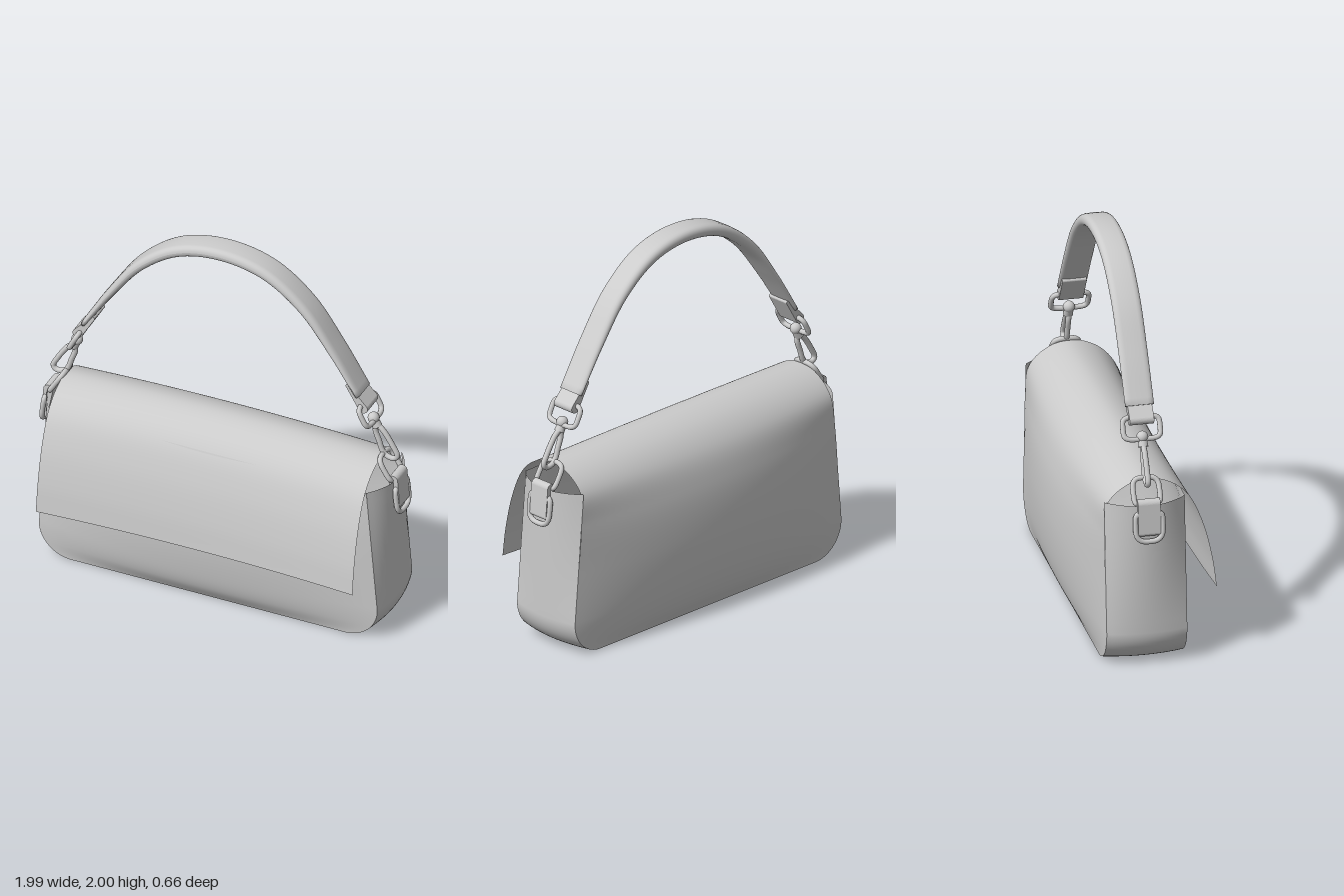
import * as THREE from 'three';

const MID_Z = -0.037, FRONT_Z = 0.167, BACK_Z = -0.245;
const material = new THREE.MeshStandardMaterial({ color: 0xcccccc, side: THREE.DoubleSide });
const spow = (v, e) => Math.sign(v) * Math.abs(v) ** e;
const curve = (pts, closed = false) =>
  new THREE.CatmullRomCurve3(pts.map(([x, y, z = 0]) => new THREE.Vector3(x, y, z)), closed);

function mesh(name, geometry) {
  const m = new THREE.Mesh(geometry, material);
  m.name = name;
  return m;
}

// Smooth sheet from a rule fn(i, j) -> [x, y, z] on a grid of rows and columns
function sheet(rows, cols, fn) {
  const pos = [], idx = [];
  for (let i = 0; i <= rows; i++) {
    for (let j = 0; j <= cols; j++) {
      pos.push(...fn(i, j));
      if (i < rows && j < cols) {
        const a = i * (cols + 1) + j, b = a + cols + 1;
        idx.push(a, a + 1, b, a + 1, b + 1, b);
      }
    }
  }
  const g = new THREE.BufferGeometry();
  g.setAttribute('position', new THREE.Float32BufferAttribute(pos, 3));
  g.setIndex(idx);
  g.computeVertexNormals();
  return g;
}

// Half width of the panels: rounded lower corners, tapering towards the top
function halfWidth(y) {
  if (y < 0.18) return 0.75 + Math.sqrt(Math.max(0, 0.18 ** 2 - (0.18 - y) ** 2));
  return THREE.MathUtils.lerp(0.93, 0.87, Math.min(1, (y - 0.18) / 0.69));
}

// Bulging panel between a centre profile and an edge profile, points are [z, y]
function panel(centre, edge, rows) {
  const toCurve = (pts) => curve(pts.map(([z, y]) => [0, y, z]));
  const c = toCurve(centre), e = toCurve(edge), cols = 40;
  return sheet(rows, cols, (i, j) => {
    const t = (i / rows) ** 1.6, u = (j / cols) * 2 - 1;
    const p = c.getPoint(t), q = e.getPoint(t);
    const w = q.z > -0.1 && edge.length > 8 ? 0.87 : halfWidth(Math.max(0, q.y));
    p.lerp(q, u * u);
    return [u * w, Math.max(0, p.y), p.z];
  });
}

// Side and bottom strip, its sides bulging outwards along the middle
function gusset() {
  const half = [];
  for (let i = 0; i <= 12; i++) {
    const y = THREE.MathUtils.lerp(0.875, 0.18, i / 12);
    half.push([halfWidth(y), 0.96, y]);
  }
  for (let i = 1; i <= 14; i++) {
    const a = (i / 14) * Math.PI / 2, x = 0.18 * Math.cos(a);
    half.push([0.75 + x, 0.78 + x, 0.18 - 0.18 * Math.sin(a)]);
  }
  const path = [...half, ...half.slice().reverse().map(([e, m, y]) => [-e, -m, y])];
  return sheet(path.length - 1, 16, (i, j) => {
    const u = (j / 16) * 2 - 1, [e, m, y] = path[i];
    return [THREE.MathUtils.lerp(m, e, u * u), y, THREE.MathUtils.lerp(BACK_Z, FRONT_Z, j / 16)];
  });
}

// Padded handle strap, thickest at the crown
function strap() {
  const right = [[0.755, 1.335], [0.61, 1.56], [0.445, 1.775], [0.24, 1.92]];
  const path = curve([...right, [0, 1.966], ...right.slice().reverse().map(([x, y]) => [-x, y])]);
  const rows = 62, cols = 24;
  return sheet(rows, cols, (i, j) => {
    const t = THREE.MathUtils.clamp((i - 1) / (rows - 2), 0, 1);
    const p = path.getPoint(t), d = path.getTangent(t);
    const k = i === 0 || i === rows ? 0 : 1, a = (j / cols) * Math.PI * 2;
    const n = k * Math.sin(a) * (0.015 + 0.019 * Math.sin(Math.PI * t));
    return [p.x + d.y * n, p.y - d.x * n, MID_Z + k * 0.074 * spow(Math.cos(a), 0.4)];
  });
}

// Wire ring across z; top and bottom exponents set how square each end is
function ring(name, x, y, w, h, tilt, top, bottom) {
  const pts = [];
  for (let i = 0; i < 32; i++) {
    const a = (i / 32) * Math.PI * 2, s = Math.sin(a), e = s > 0 ? top : bottom;
    pts.push([0, spow(s, e) * h / 2, spow(Math.cos(a), e) * w / 2]);
  }
  const m = mesh(name, new THREE.TubeGeometry(curve(pts, true), 64, 0.0135, 10, true));
  m.position.set(x, y, MID_Z);
  m.rotation.z = tilt;
  return m;
}

// Folded leather loop: a tapered capsule from a to b, extruded across z
function leatherLoop(name, a, b, ra, rb, width) {
  const dir = Math.atan2(b[1] - a[1], b[0] - a[0]);
  const s = new THREE.Shape();
  s.absarc(a[0], a[1], ra, dir + Math.PI / 2, dir + Math.PI * 1.5, false);
  s.absarc(b[0], b[1], rb, dir - Math.PI / 2, dir + Math.PI / 2, false);
  s.closePath();
  const g = new THREE.ExtrudeGeometry(s, { depth: width, bevelEnabled: false, curveSegments: 10 });
  return mesh(name, g.translate(0, 0, MID_Z - width / 2));
}

// Fittings joining strap and bag on the +x side
function fittings() {
  const g = new THREE.Group();
  g.add(leatherLoop('strapEndLoop', [0.785, 1.272], [0.70, 1.385], 0.026, 0.01, 0.125));
  g.add(ring('strapRing', 0.797, 1.232, 0.19, 0.115, 0.48, 0.45, 0.45));

  // Swivel and snap hook
  const swivel = mesh('swivel', new THREE.CylinderGeometry(0.022, 0.026, 0.06, 16));
  swivel.position.set(0.822, 1.17, MID_Z);
  swivel.rotation.z = 0.5;
  const knob = mesh('swivelKnob', new THREE.SphereGeometry(0.03, 16, 12));
  knob.position.set(0.815, 1.19, MID_Z);
  const hook = curve([[0.83, 1.15], [0.86, 1.135], [0.92, 1.05], [0.945, 0.995],
    [0.925, 0.975], [0.88, 0.985], [0.862, 1.01], [0.845, 1.06], [0.825, 1.12]], true);
  const hookMesh = mesh('snapHook', new THREE.TubeGeometry(hook, 60, 0.0145, 10, true));
  hookMesh.position.z = MID_Z;
  g.add(swivel, knob, hookMesh);

  // Rings and leather loop on the side of the bag
  g.add(ring('upperRing', 0.905, 0.935, 0.135, 0.135, 0.55, 0.6, 0.35));
  g.add(leatherLoop('sideLoop', [0.948, 0.882], [0.968, 0.735], 0.026, 0.018, 0.115));
  g.add(ring('lowerRing', 0.973, 0.765, 0.14, 0.15, 0.12, 0.35, 0.7));
  return g;
}

export function createModel() {
  const bag = new THREE.Group();
  bag.name = 'handbag';

  bag.add(mesh('frontPanel', panel(
    [[0.167, 0], [0.215, 0.08], [0.245, 0.2], [0.267, 0.45], [0.24, 0.7], [0.175, 0.875]],
    [[0.167, 0], [0.167, 0.08], [0.167, 0.2], [0.167, 0.45], [0.167, 0.7], [0.167, 0.875]], 60)));

  // Back panel running over the top into the front flap
  bag.add(mesh('backAndFlap', panel(
    [[-0.245, 0], [-0.285, 0.08], [-0.315, 0.2], [-0.333, 0.45], [-0.313, 0.7], [-0.26, 0.86],
      [-0.16, 0.96], [-0.03, 1.0], [0.085, 0.965], [0.17, 0.88], [0.235, 0.72], [0.28, 0.52], [0.3, 0.36]],
    [[-0.245, 0], [-0.245, 0.08], [-0.245, 0.2], [-0.245, 0.45], [-0.245, 0.7], [-0.23, 0.86],
      [-0.15, 0.945], [-0.03, 0.985], [0.1, 0.95], [0.19, 0.87], [0.26, 0.72], [0.31, 0.52], [0.332, 0.36]], 120)));

  bag.add(mesh('gusset', gusset()));
  bag.add(mesh('strap', strap()));

  const left = fittings();
  left.name = 'leftFittings';
  const right = fittings();
  right.name = 'rightFittings';
  right.scale.x = -1;
  bag.add(left, right);
  return bag;
}
